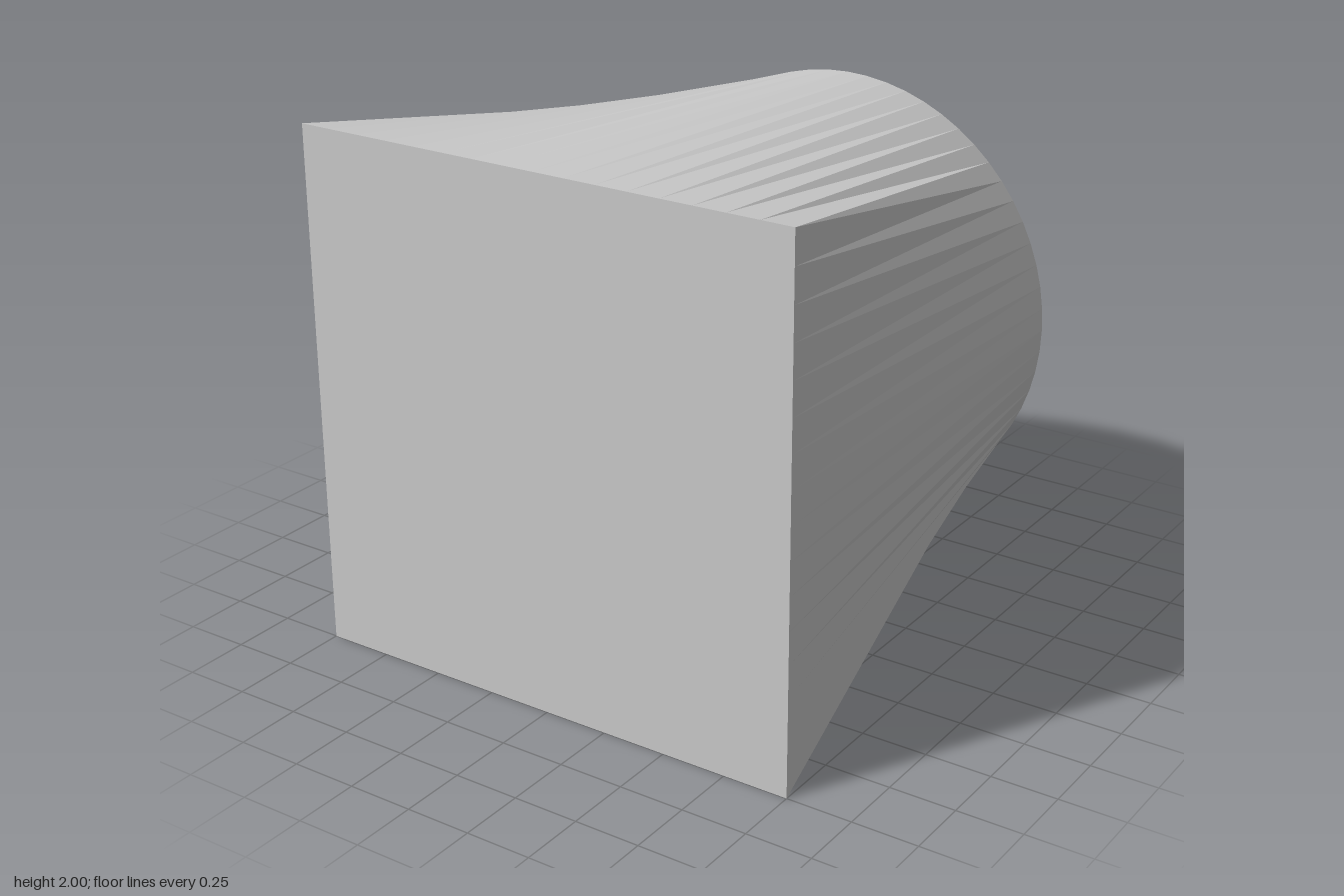
import * as THREE from 'three';

const PER_SIDE = 16;
const COUNT = PER_SIDE * 4;
const HALF = 1;        // half width of the square end
const RADIUS = 0.89;   // radius of the round end

// Point k on the square end (z = 1), clockwise from the upper left-hand (+x) corner
function squarePoint(k) {
  const side = Math.floor(k / PER_SIDE) % 4;
  const t = HALF - (2 * HALF * (k % PER_SIDE)) / PER_SIDE;
  const [x, y] = [[HALF, t], [t, -HALF], [-HALF, -t], [-t, HALF]][side];
  return [x, y + 1, 1];
}

// Matching point k on the round end (z = -1)
function circlePoint(k) {
  const a = Math.PI / 4 - (k / COUNT) * Math.PI * 2;
  return [RADIUS * Math.cos(a), RADIUS * Math.sin(a) + 1, -1];
}

function makePart(name, triangles, material) {
  const geometry = new THREE.BufferGeometry();
  geometry.setAttribute('position', new THREE.Float32BufferAttribute(triangles.flat(), 3));
  geometry.computeVertexNormals();
  const mesh = new THREE.Mesh(geometry, material);
  mesh.name = name;
  return mesh;
}

export function createModel() {
  const group = new THREE.Group();
  group.name = 'squareToRoundTransition';
  const material = new THREE.MeshStandardMaterial({ color: 0xcccccc, flatShading: true });

  const wall = [], squareEnd = [], roundEnd = [];
  for (let k = 0; k < COUNT; k++) {
    const s0 = squarePoint(k), s1 = squarePoint(k + 1);
    const c0 = circlePoint(k), c1 = circlePoint(k + 1);
    wall.push(s0, c1, c0, s0, s1, c1);
    squareEnd.push([0, 1, 1], s1, s0);
    roundEnd.push([0, 1, -1], c0, c1);
  }

  group.add(
    makePart('loftedWall', wall, material),
    makePart('squareEnd', squareEnd, material),
    makePart('roundEnd', roundEnd, material),
  );
  return group;
}
